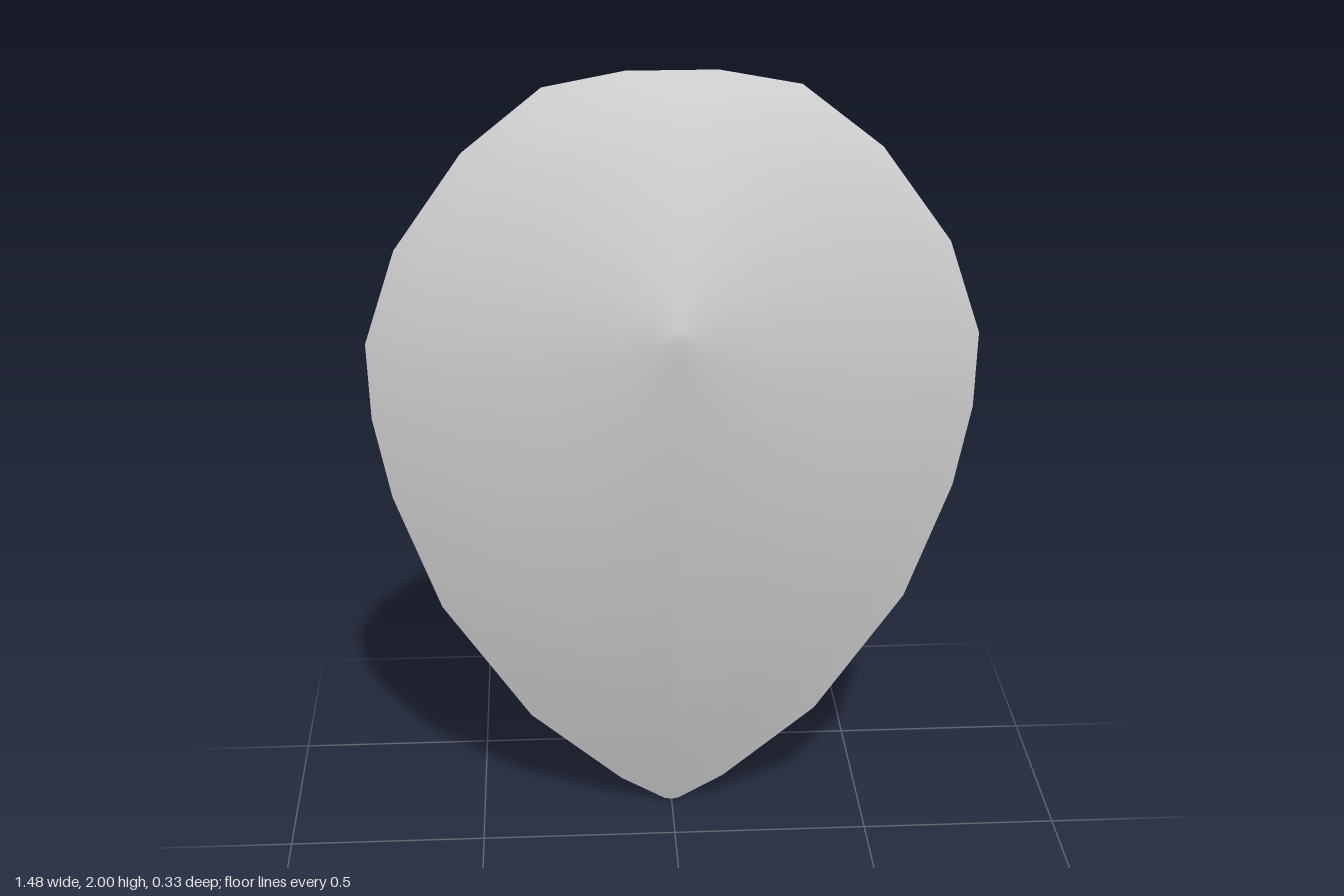
import * as THREE from 'three';

// Rim of the shell, left half, from top centre to bottom tip: x, y, z
const HALF_RIM = [
  [0, 2, -0.13], [0.11, 2, -0.13], [0.305, 1.967, -0.115], [0.495, 1.825, -0.075],
  [0.66, 1.6, -0.045], [0.738, 1.37, -0.037], [0.732, 1.18, -0.032], [0.692, 0.97, -0.032],
  [0.583, 0.66, -0.042], [0.368, 0.32, -0.08], [0.135, 0.088, -0.137], [0.018, 0.004, -0.165],
  [0, 0, -0.167],
];
const APEX = [0, 1.44, 0.168];

// Rings from apex to rim: distance along the ray, then share of the drop
// in z for rays going up, down and sideways
const RINGS = [
  [0.04, 0.012, 0.014, 0.025],
  [0.2, 0.095, 0.1, 0.16],
  [0.45, 0.28, 0.265, 0.37],
  [0.72, 0.53, 0.56, 0.63],
  [0.9, 0.76, 0.84, 0.86],
  [1, 1, 1, 1],
];

function shellGeometry() {
  // Mirror the half rim into a closed loop
  const mirrored = HALF_RIM.slice(1, -1).reverse().map(([x, y, z]) => [-x, y, z]);
  const rim = [...HALF_RIM, ...mirrored];
  const n = rim.length;
  const positions = [...APEX];
  const index = [];

  RINGS.forEach(([t, up, down, side], r) => {
    rim.forEach(([x, y, z], i) => {
      const dy = y - APEX[1];
      const sideways = (x * x) / (x * x + dy * dy);
      const drop = THREE.MathUtils.lerp(dy > 0 ? up : down, side, sideways);
      positions.push(x * t, APEX[1] + dy * t, APEX[2] + (z - APEX[2]) * drop);

      const j = (i + 1) % n;
      const a = 1 + r * n + i, b = 1 + r * n + j;
      if (r === 0) index.push(0, b, a);
      else index.push(a - n, b, a, a - n, b - n, b);
    });
  });

  const geometry = new THREE.BufferGeometry();
  geometry.setAttribute('position', new THREE.Float32BufferAttribute(positions, 3));
  geometry.setIndex(index);
  geometry.computeVertexNormals();
  return geometry;
}

export function createModel() {
  const group = new THREE.Group();
  group.name = 'curvedShell';
  // Thin open shell, visible from both sides
  const material = new THREE.MeshStandardMaterial({ color: 0xcccccc, side: THREE.DoubleSide });
  const shell = new THREE.Mesh(shellGeometry(), material);
  shell.name = 'shell';
  group.add(shell);
  return group;
}
